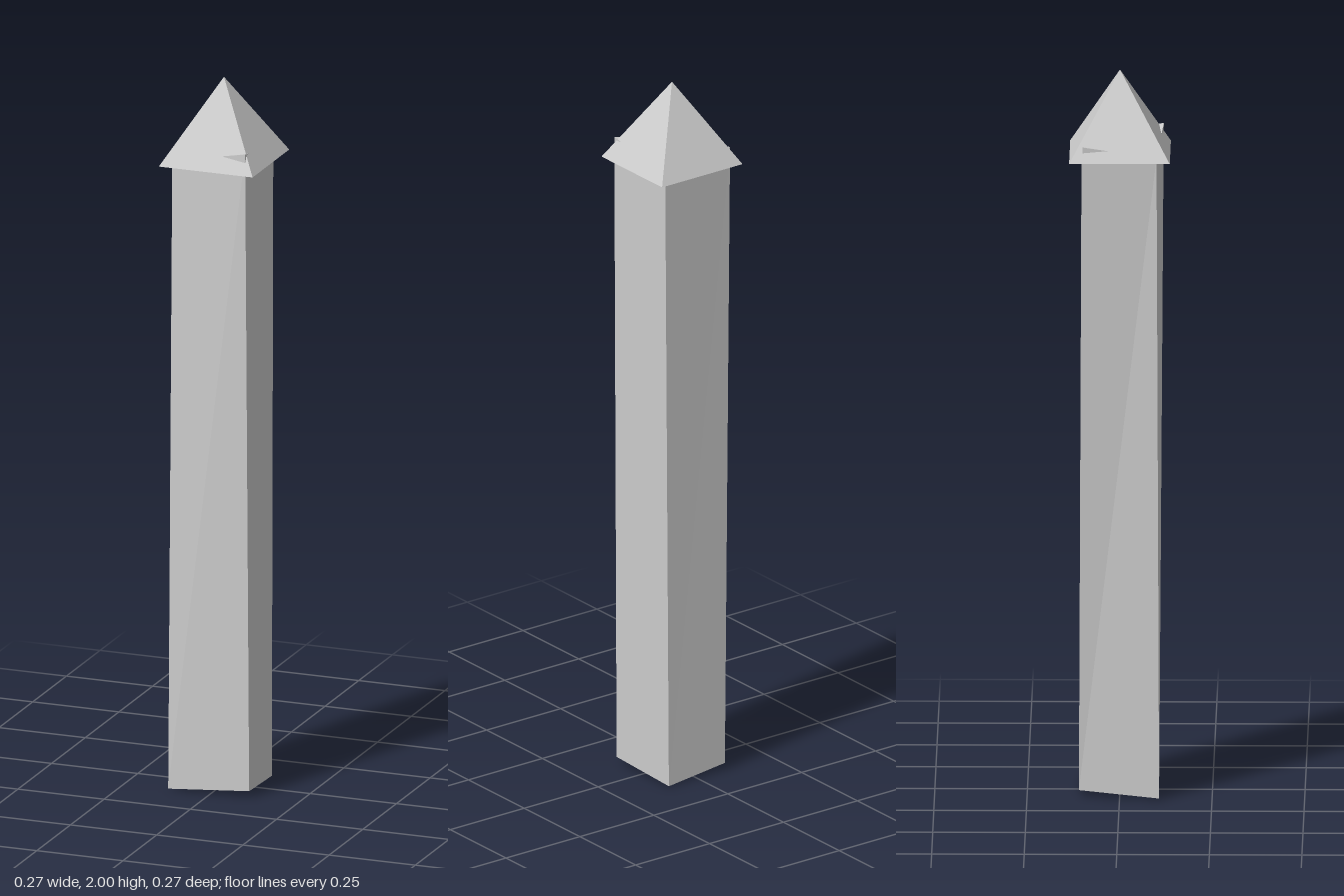
import * as THREE from 'three';

export function createModel() {
  const model = new THREE.Group();
  const stone = new THREE.MeshStandardMaterial({ color: 0xcccccc, flatShading: true });
  stone.name = 'paleGrey';

  // Corners of the hewn shaft, keyed by the signs of x, y and z
  const corners = {
    '-1,-1,1': [-0.12, 0.003, 0.107],
    '1,-1,1': [0.112, 0.02, 0.1],
    '1,-1,-1': [0.095, 0, -0.112],
    '-1,-1,-1': [-0.096, 0.02, -0.11],
    '-1,1,1': [-0.111, 1.78, 0.1],
    '1,1,1': [0.107, 1.826, 0.117],
    '1,1,-1': [0.102, 1.785, -0.105],
    '-1,1,-1': [-0.121, 1.812, -0.1],
  };

  // Slightly twisted shaft: a box with each corner moved
  const shaftGeometry = new THREE.BoxGeometry(2, 2, 2);
  const position = shaftGeometry.attributes.position;
  for (let i = 0; i < position.count; i++) {
    const key = [position.getX(i), position.getY(i), position.getZ(i)].map(Math.sign).join(',');
    position.setXYZ(i, ...corners[key]);
  }
  shaftGeometry.computeVertexNormals();
  const shaft = new THREE.Mesh(shaftGeometry, stone);
  shaft.name = 'shaft';

  // Overhanging square pyramid on top
  const capHeight = 0.23;
  const capGeometry = new THREE.ConeGeometry(0.136 * Math.SQRT2, capHeight, 4);
  capGeometry.rotateY(Math.PI / 4);
  const cap = new THREE.Mesh(capGeometry, stone);
  cap.name = 'pyramidCap';
  cap.position.y = 2 - capHeight / 2;

  model.add(shaft, cap);
  return model;
}
